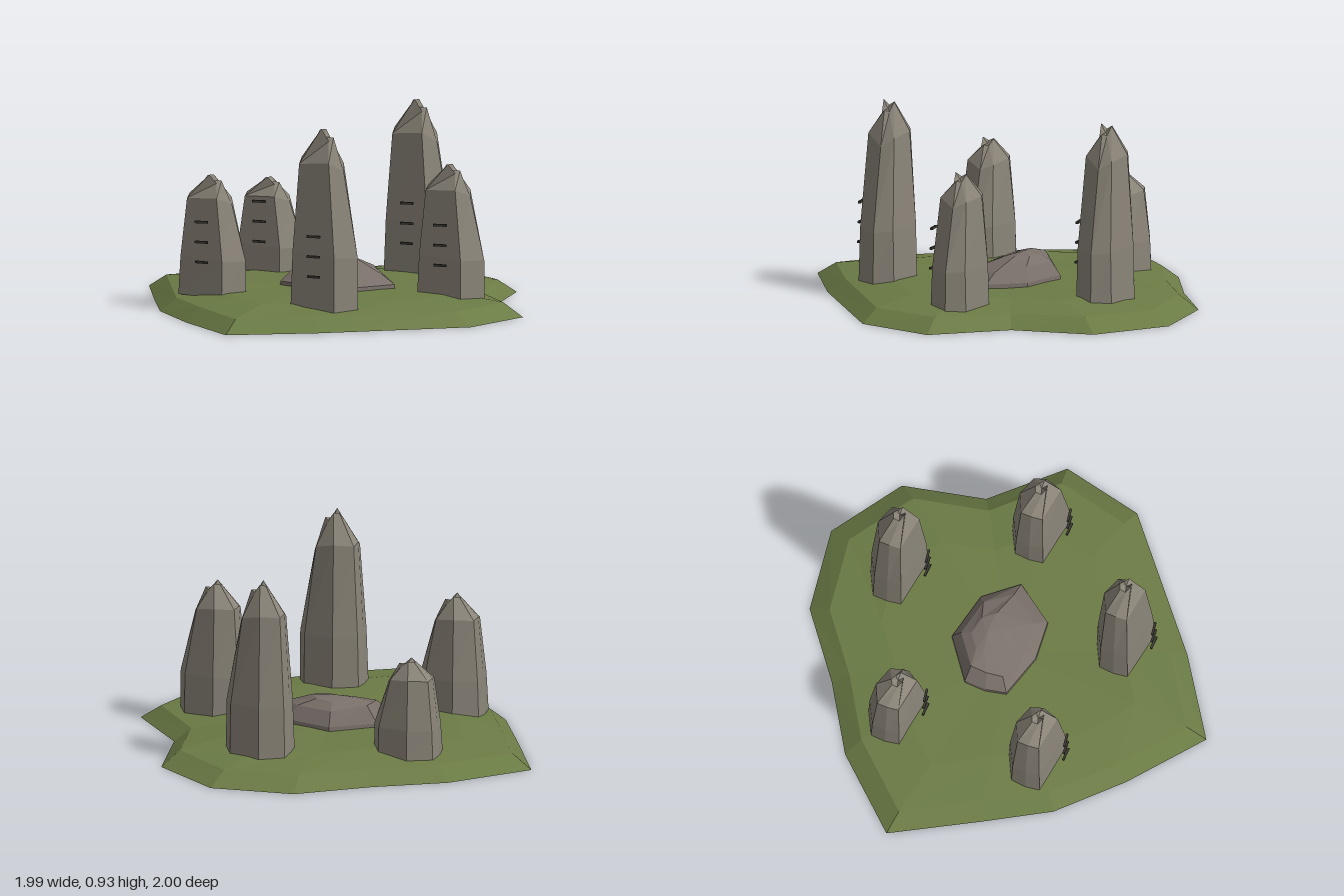
import * as THREE from 'three';

const mat = (color) => new THREE.MeshStandardMaterial({ color, flatShading: true, roughness: 1 });

// Skins a stack of rings (clockwise seen from above) and closes both ends.
function loft(rings, topCentre, bottomCentre) {
  const pos = [];
  const tri = (...pts) => pts.forEach((p) => pos.push(...p));
  const n = rings[0].length;
  const top = rings[rings.length - 1];
  for (let j = 0; j < n; j++) {
    const k = (j + 1) % n;
    for (let i = 0; i < rings.length - 1; i++) {
      const lo = rings[i], up = rings[i + 1];
      tri(lo[k], lo[j], up[j]);
      tri(lo[k], up[j], up[k]);
    }
    tri(topCentre, top[k], top[j]);
    tri(bottomCentre, rings[0][j], rings[0][k]);
  }
  const geo = new THREE.BufferGeometry();
  geo.setAttribute('position', new THREE.Float32BufferAttribute(pos, 3));
  geo.computeVertexNormals();
  return geo;
}

// Turns [x, z] points into a ring at height y (a number or one per point), scaled about (cx, cz).
const ring = (pts, y, s = 1, cx = 0, cz = 0) =>
  pts.map(([x, z], i) => [cx + (x - cx) * s, Array.isArray(y) ? y[i] : y, cz + (z - cz) * s]);

// Irregular grassy mound
function makeGround() {
  const edge = [
    [-1, -0.27], [-0.69, -0.58], [-0.37, -0.755], [-0.06, -0.97], [0.34, -1], [0.66, -0.76], [0.725, -0.365],
    [0.99, -0.055], [0.885, 0.325], [0.295, 0.775], [-0.075, 0.995], [-0.395, 0.71], [-0.645, 0.435], [-0.8, 0.135],
  ];
  const rim = edge.map((_, i) => 0.062 + 0.004 * (i % 2));
  const crown = edge.map((_, i) => 0.092 + 0.006 * ((i * 5) % 3) / 2);
  const geo = loft([ring(edge, 0), ring(edge, rim, 0.9), ring(edge, crown, 0.64)], [0, 0.098, 0], [0, 0, 0]);
  const mesh = new THREE.Mesh(geo, mat(0x6b7b45));
  mesh.name = 'ground';
  return mesh;
}

// Standing stone of unit height with a faceted shaft and jagged tip
function makeStoneGeometry() {
  const base = [[-0.148, -0.072], [-0.035, -0.123], [0.12, -0.075], [0.167, 0.01], [0.09, 0.12], [-0.152, 0.068], [-0.158, 0]];
  const middle = [[-0.142, -0.068], [-0.035, -0.118], [0.118, -0.07], [0.165, 0.01], [0.088, 0.113], [-0.143, 0.064], [-0.15, 0]];
  const shoulder = [[-0.118, -0.052], [-0.03, -0.088], [0.068, -0.052], [0.092, 0.005], [0.05, 0.088], [-0.115, 0.052], [-0.124, 0]];
  const tip = [[-0.035, -0.008], [-0.008, -0.018], [0.022, -0.008], [0.042, 0.01], [0.026, 0.03], [-0.008, 0.036], [-0.034, 0.018]];
  return loft([
    ring(base, 0),
    ring(middle, [0.3, 0.31, 0.3, 0.29, 0.3, 0.32, 0.31]),
    ring(shoulder, [0.82, 0.83, 0.8, 0.76, 0.82, 0.8, 0.83]),
    ring(tip, [0.985, 0.99, 0.94, 0.95, 0.93, 1, 0.965]),
  ], [0, 0.95, 0.01], [0, 0, 0]);
}

// Low faceted slab in the middle
function makeAltar() {
  const edge = [[-0.205, -0.155], [-0.01, -0.285], [0.22, -0.22], [0.34, -0.06], [0.2, 0.12], [0.01, 0.125], [-0.2, 0.05], [-0.215, -0.05]];
  const geo = loft([
    ring(edge, 0.085),
    ring(edge, 0.115, 0.99, 0.02, -0.08),
    ring(edge, [0.195, 0.18, 0.18, 0.16, 0.155, 0.155, 0.175, 0.19], 0.76, 0.02, -0.1),
    ring(edge, [0.215, 0.21, 0.215, 0.215, 0.205, 0.2, 0.21, 0.217], 0.36, 0.01, -0.14),
  ], [0.02, 0.226, -0.12], [0, 0.085, -0.05]);
  const mesh = new THREE.Mesh(geo, mat(0x7a706a));
  mesh.name = 'altarStone';
  return mesh;
}

export function createModel() {
  const model = new THREE.Group();
  model.name = 'stoneCircle';
  model.add(makeGround(), makeAltar());

  const stoneGeo = makeStoneGeometry();
  const stoneMat = mat(0x8a8478);
  const markGeo = new THREE.BoxGeometry(0.064, 0.011, 0.011);
  const markMat = mat(0x3a3832);
  const baseY = 0.072;

  // x, z and top height of each standing stone
  const stones = [
    [0.22, -0.63, 0.91], [0.22, 0.488, 0.928], [0.627, -0.068, 0.705], [-0.438, -0.415, 0.53], [-0.438, 0.278, 0.64],
  ];
  for (const [x, z, top] of stones) {
    const group = new THREE.Group();
    group.name = 'standingStone';
    group.position.set(x, 0, z);
    const stone = new THREE.Mesh(stoneGeo, stoneMat);
    stone.name = 'stoneShaft';
    stone.position.y = baseY;
    stone.scale.y = top - baseY;
    group.add(stone);
    // Three short bars standing just off the front face
    [0.242, 0.337, 0.432].forEach((y, i) => {
      const mark = new THREE.Mesh(markGeo, markMat);
      mark.name = 'carvedMark';
      mark.position.set(-0.002, y, 0.147);
      mark.rotation.y = (i - 1) * 0.1;
      group.add(mark);
    });
    model.add(group);
  }
  return model;
}
